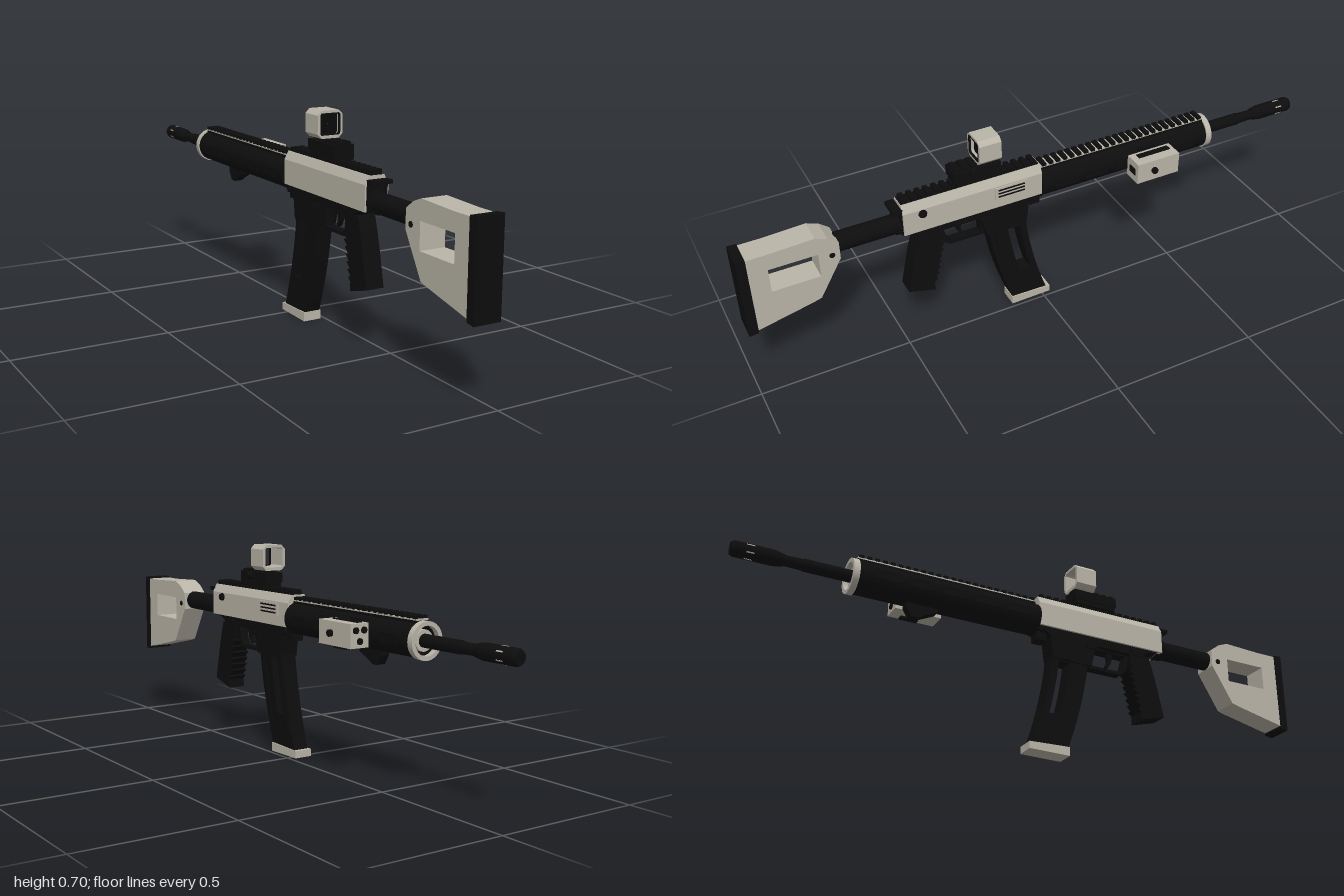
import * as THREE from 'three';

const CX = -0.045; // bore line in x
const CY = 0.465;  // bore line in y
const mat = (name, color, side = THREE.FrontSide) => {
  const m = new THREE.MeshStandardMaterial({ color, side });
  m.name = name;
  return m;
};

export function createModel() {
  const root = new THREE.Group();
  const black = mat('black polymer', 0x0d0d0d, THREE.DoubleSide);
  const sand = mat('sand grey', 0xbab5a8);

  const add = (name, geo, m, parent = root) => {
    const mesh = new THREE.Mesh(geo, m);
    mesh.name = name;
    parent.add(mesh);
    return mesh;
  };
  // Box from its min and max corners
  const box = (name, m, x0, x1, y0, y1, z0, z1, parent) =>
    add(name, new THREE.BoxGeometry(x1 - x0, y1 - y0, z1 - z0)
      .translate((x0 + x1) / 2, (y0 + y1) / 2, (z0 + z1) / 2), m, parent);
  // Round bar along z
  const rod = (name, m, r0, r1, z0, z1, y = CY, seg = 32, x = CX) =>
    add(name, new THREE.CylinderGeometry(r1, r0, z1 - z0, seg)
      .rotateX(Math.PI / 2).translate(x, y, (z0 + z1) / 2), m);
  // Round button along x
  const knob = (name, m, r, x0, x1, y, z) =>
    add(name, new THREE.CylinderGeometry(r, r, x1 - x0, 20)
      .rotateZ(Math.PI / 2).translate((x0 + x1) / 2, y, z), m);
  const toShape = (pts) => new THREE.Shape(pts.map(([a, b]) => new THREE.Vector2(a, b)));
  // Side outline in (z, y), extruded across x
  const side = (name, m, pts, w, holes = []) => {
    const s = toShape(pts);
    holes.forEach((h) => s.holes.push(toShape(h)));
    const g = new THREE.ExtrudeGeometry(s, { depth: w, bevelEnabled: false });
    return add(name, g.rotateY(-Math.PI / 2).translate(CX + w / 2, 0, 0), m);
  };
  // Cross-section in (x, y), extruded along z
  const section = (name, m, pts, z0, z1, hole) => {
    const s = toShape(pts);
    if (hole) s.holes.push(toShape(hole));
    return add(name, new THREE.ExtrudeGeometry(s, { depth: z1 - z0, bevelEnabled: false })
      .translate(CX, 0, z0), m);
  };
  // Rectangle with cut corners, centred on x
  const cutRect = (w, y0, y1, c) => [
    [-w + c, y0], [w - c, y0], [w, y0 + c], [w, y1 - c],
    [w - c, y1], [-w + c, y1], [-w, y1 - c], [-w, y0 + c]];
  // Row of rail teeth
  const teeth = (name, m, w, y0, y1, z0, z1, n) => {
    const g = new THREE.Group();
    g.name = name;
    const step = (z1 - z0) / n;
    for (let i = 0; i < n; i++) {
      const z = z0 + step * (i + 0.25);
      box('railTooth', m, CX - w, CX + w, y0, y1, z, z + step * 0.55, g);
    }
    root.add(g);
  };

  // Stock and butt pad
  side('stock', sand, [[0.972, 0.255], [0.972, 0.524], [0.9, 0.524], [0.76, 0.53], [0.722, 0.515],
    [0.69, 0.49], [0.69, 0.43], [0.765, 0.302], [0.79, 0.295]], 0.084,
  [[[0.91, 0.385], [0.91, 0.468], [0.757, 0.468], [0.757, 0.385]]]);
  side('buttPad', black, [[0.97, 0.247], [1, 0.243], [1, 0.53], [0.97, 0.528]], 0.088);
  knob('slingSocket', black, 0.009, CX - 0.044, CX + 0.044, 0.45, 0.715);
  rod('bufferTube', black, 0.032, 0.032, 0.47, 0.7, 0.462);
  rod('bufferCollar', black, 0.036, 0.036, 0.47, 0.5, 0.462);

  // Upper receiver with bevelled shoulders
  section('upperReceiver', sand, [[-0.04, 0.435], [0.04, 0.435], [0.04, 0.515], [0.026, 0.541],
    [-0.026, 0.541], [-0.04, 0.515]], 0.005, 0.482);
  box('receiverBackPlate', black, CX - 0.034, CX + 0.034, 0.435, 0.53, 0.48, 0.488);
  box('receiverRail', black, CX - 0.021, CX + 0.021, 0.538, 0.546, 0.01, 0.48);
  teeth('receiverRailTeeth', black, 0.022, 0.545, 0.556, 0.01, 0.48, 17);
  box('chargingHandle', black, CX - 0.035, CX + 0.035, 0.518, 0.53, 0.485, 0.512);
  knob('forwardAssist', black, 0.011, CX + 0.035, 0.004, 0.5, 0.418);
  knob('assistFlange', black, 0.014, CX + 0.035, CX + 0.043, 0.5, 0.418);
  // Ejection port cover with slits
  box('portCover', sand, CX + 0.035, CX + 0.044, 0.468, 0.511, 0.06, 0.172);
  for (let i = 0; i < 3; i++) {
    const y = 0.475 + i * 0.012;
    box('portSlit', black, CX + 0.04, CX + 0.0455, y, y + 0.005, 0.07, 0.162);
  }

  // Lower receiver, magazine well and trigger group
  side('lowerReceiver', black, [[0.48, 0.438], [0.43, 0.425], [0.4, 0.405], [0.22, 0.405],
    [0.05, 0.405], [0.04, 0.415], [0.0, 0.42], [0, 0.438]], 0.066);
  side('magazineWell', black, [[0.225, 0.41], [0.2, 0.328], [0.06, 0.328], [0.05, 0.41]], 0.066,
    [[[0.123, 0.329], [0.123, 0.332], [0.085, 0.332], [0.085, 0.329]]]);
  box('wellLug', black, CX - 0.02, CX + 0.02, 0.388, 0.42, 0.004, 0.04);
  for (const s of [-1, 1]) {
    const x0 = s > 0 ? CX + 0.03 : CX - 0.04;
    knob('receiverPin', black, 0.008, x0, x0 + 0.01, 0.42, 0.36);
    knob('receiverPin', black, 0.008, x0, x0 + 0.01, 0.42, 0.03);
    box('controlLever', black, x0, x0 + 0.01, 0.39, 0.402, 0.18, 0.22);
  }
  side('triggerGuard', black, [[0.36, 0.41], [0.345, 0.345], [0.325, 0.328], [0.2, 0.328], [0.2, 0.41]],
    0.03, [[[0.345, 0.4], [0.332, 0.352], [0.318, 0.339], [0.216, 0.339], [0.222, 0.4]]]);
  side('trigger', black, [[0.3, 0.402], [0.278, 0.402], [0.282, 0.37], [0.272, 0.35], [0.28, 0.347],
    [0.294, 0.368]], 0.014);

  // Grip with finger ridges on its forward edge
  const grip = [[0.355, 0.41], [0.43, 0.41], [0.442, 0.37], [0.455, 0.32], [0.481, 0.2], [0.39, 0.175]];
  for (let i = 0; i < 7; i++) {
    const t = i / 7;
    const y = 0.205 + t * 0.155;
    const z = 0.392 - t * 0.035;
    grip.push([z, y], [z - 0.014, y + 0.012], [z, y + 0.015]);
  }
  side('grip', black, grip, 0.06);

  // Curved magazine with an open window, and its floor plate
  const magAt = (t, f) => {
    const y = 0.4 - t * 0.378;
    const mid = 0.132 - 0.03 * t - 0.055 * t * t;
    const half = 0.067 - 0.004 * t;
    return [mid + half * f, y];
  };
  const strip = (t0, t1, f0, f1) => {
    const a = [], b = [];
    for (let i = 0; i <= 8; i++) {
      const t = t0 + ((t1 - t0) * i) / 8;
      a.push(magAt(t, f0));
      b.unshift(magAt(t, f1));
    }
    return a.concat(b);
  };
  side('magazine', black, strip(0, 1, 1, -1), 0.054, [strip(0.2, 0.7, 0, -0.62)]);
  for (const f of [0.62, -0.78]) side('magazineRib', black, strip(0.18, 0.83, f + 0.12, f - 0.08), 0.06);
  side('magazineFloorPlate', sand, [[0.115, 0.0], [0.115, 0.03], [-0.028, 0.026], [-0.028, 0.002]], 0.062);

  // Handguard: open tube with a pale end ring
  const tube = (name, m, rIn, rOut, z0, z1) => add(name, new THREE.LatheGeometry(
    [[rIn, 0], [rOut, 0], [rOut, 0], [rOut, z1 - z0], [rOut, z1 - z0], [rIn, z1 - z0], [rIn, z1 - z0], [rIn, 0]]
      .map(([r, h]) => new THREE.Vector2(r, h)), 40)
    .rotateX(Math.PI / 2).translate(CX, CY, z0), m);
  tube('handguard', black, 0.04, 0.053, -0.62, 0.006);
  tube('handguardEndRing', sand, 0.044, 0.057, -0.638, -0.618);
  rod('barrelNut', black, 0.042, 0.042, -0.55, -0.03);
  rod('gasRing', sand, 0.032, 0.032, -0.625, -0.55);
  box('handguardRail', black, CX - 0.021, CX + 0.021, 0.505, 0.522, -0.618, 0);
  box('handguardRailStrip', sand, CX - 0.021, CX + 0.021, 0.522, 0.527, -0.618, 0);
  teeth('handguardRailTeeth', black, 0.022, 0.526, 0.536, -0.618, 0, 24);
  for (const s of [-1, 1]) {
    for (let i = 0; i < 5; i++) {
      const x = CX + s * 0.05;
      const z = -0.57 + i * 0.112;
      box('sidePanel', black, x - 0.005, x + 0.005, 0.45, 0.48, z, z + 0.085);
    }
  }
  side('handStop', black, [[-0.34, 0.42], [-0.345, 0.402], [-0.395, 0.378], [-0.41, 0.368], [-0.432, 0.37],
    [-0.45, 0.4], [-0.45, 0.42]], 0.03);

  // Barrel and muzzle device
  rod('barrel', black, 0.02, 0.02, -0.78, -0.5);
  rod('barrelTip', black, 0.016, 0.018, -0.86, -0.78);
  rod('muzzleShoulder', black, 0.025, 0.019, -0.87, -0.84);
  rod('muzzleDevice', black, 0.025, 0.025, -0.99, -0.87);
  rod('muzzleCrown', black, 0.02, 0.025, -1, -0.99);
  for (let i = 0; i < 6; i++) {
    const a = (i / 6) * Math.PI * 2;
    const slot = box('muzzleSlot', sand, -0.003, 0.003, -0.001, 0.001, -0.02, 0.02);
    slot.scale.set(0.7, 1, 0.6);
    slot.position.set(CX + Math.sin(a) * 0.0245, CY + Math.cos(a) * 0.0245, -0.945);
    slot.rotation.z = -a;
  }

  // Side-mounted light box
  box('lightMount', black, 0.0, 0.024, 0.435, 0.495, -0.43, -0.33);
  box('lightMountClamp', black, -0.005, 0.01, 0.43, 0.508, -0.41, -0.35);
  box('lightBody', sand, 0.022, 0.088, 0.43, 0.503, -0.455, -0.298);
  box('lightRearPanel', black, 0.04, 0.073, 0.456, 0.479, -0.3, -0.295);
  box('lightTopPanel', black, 0.034, 0.054, 0.5, 0.506, -0.44, -0.322);
  knob('lightButton', black, 0.011, 0.085, 0.098, 0.467, -0.36);
  for (const [x, y] of [[0.04, 0.483], [0.07, 0.483], [0.055, 0.45]])
    rod('lightLens', black, 0.01, 0.01, -0.46, -0.45, y, 20, x);
  box('lightFoot', black, 0.062, 0.08, 0.423, 0.432, -0.42, -0.36);

  // Optic: clamp, base, hood and dark lens
  box('opticClamp', black, CX - 0.03, CX + 0.036, 0.553, 0.572, 0.15, 0.3);
  box('opticBase', black, CX - 0.033, CX + 0.033, 0.568, 0.602, 0.145, 0.305);
  box('opticNeck', black, CX - 0.014, CX + 0.014, 0.598, 0.618, 0.15, 0.22);
  teeth('opticRibs', black, 0.026, 0.6, 0.61, 0.22, 0.305, 3);
  knob('opticDial', black, 0.013, CX + 0.03, 0.006, 0.59, 0.24);
  knob('opticClampScrew', black, 0.008, CX + 0.03, -0.008, 0.562, 0.19);
  section('opticHood', sand, cutRect(0.044, 0.61, 0.696, 0.014), 0.147, 0.222,
    cutRect(0.034, 0.621, 0.687, 0.005));
  section('opticRim', black, cutRect(0.035, 0.62, 0.688, 0.005), 0.216, 0.223,
    cutRect(0.031, 0.624, 0.684, 0.004));
  const glass = mat('lens black', 0x0a0a0a);
  add('opticLens', new THREE.PlaneGeometry(0.068, 0.066).translate(CX, 0.654, 0.205), glass);
  add('aimingDot', new THREE.CircleGeometry(0.0012, 12).translate(CX, 0.654, 0.206), sand);
  return root;
}
